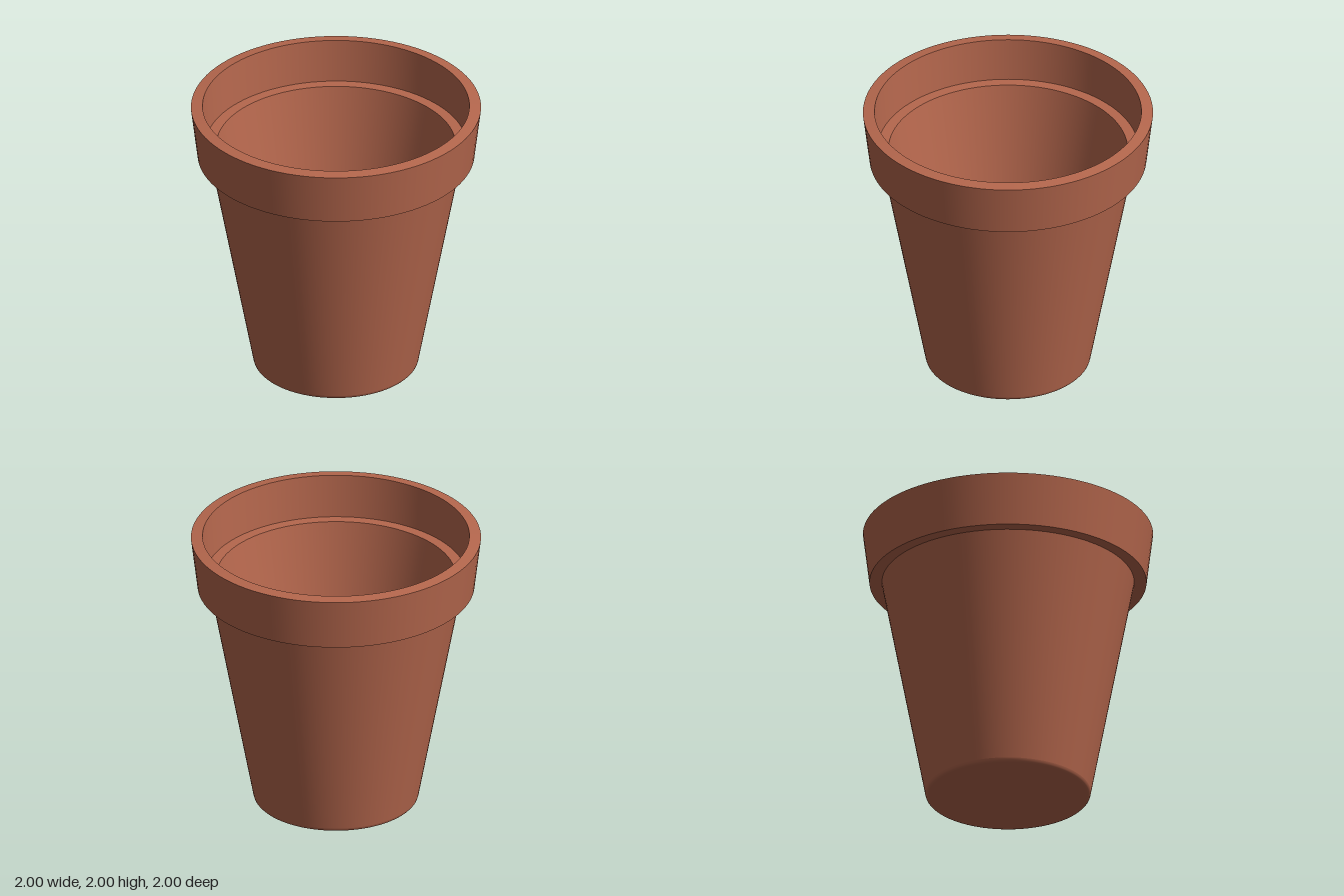
import * as THREE from 'three';

export function createModel() {
  const pot = new THREE.Group();
  pot.name = 'flowerPot';
  const terracotta = new THREE.MeshStandardMaterial({ color: 0xb5674d });
  terracotta.name = 'terracotta';

  // Each band is its own lathe, so the edges between bands stay crisp.
  function band(name, points) {
    const profile = points.map(([r, y]) => new THREE.Vector2(r, y));
    const mesh = new THREE.Mesh(new THREE.LatheGeometry(profile, 96), terracotta);
    mesh.name = name;
    pot.add(mesh);
  }

  // Outside, from the base up
  band('base', [[0, 0], [0.55, 0]]);
  band('baseEdge', [[0.55, 0], [0.56, 0.004], [0.567, 0.012], [0.571, 0.025]]);
  band('outerWall', [[0.571, 0.025], [0.87, 1.62]]);
  band('rimUnderside', [[0.87, 1.62], [0.955, 1.62]]);
  band('rimOuter', [[0.955, 1.62], [1, 1.99]]);
  band('rimTop', [[1, 1.99], [0.92, 2]]);

  // Inside, from the rim down
  band('rimInner', [[0.92, 2], [0.9, 1.69]]);
  band('innerLedge', [[0.9, 1.69], [0.825, 1.69]]);
  band('innerWall', [[0.825, 1.69], [0.505, 0.06]]);
  band('floor', [[0.505, 0.06], [0, 0.06]]);

  return pot;
}
